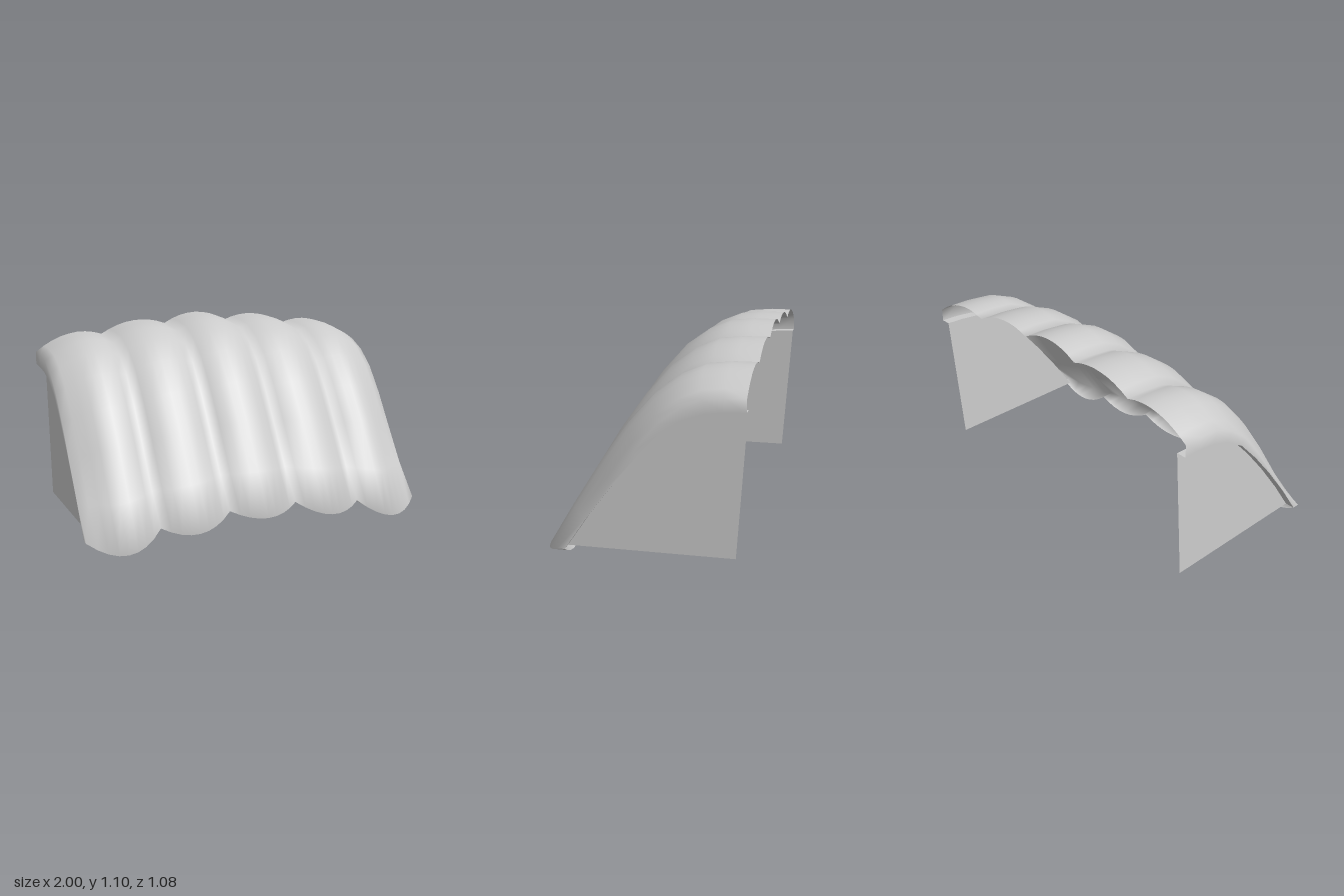
import * as THREE from 'three';

// Crest profile [z, y, inward direction in degrees from straight down], back edge to front edge
const CREST = [[-0.54, 1.098, 0], [-0.42, 1.098, 7], [-0.29, 1.085, 16], [-0.17, 1.035, 20],
  [-0.04, 0.94, 31], [0.1, 0.78, 45], [0.24, 0.58, 63], [0.4, 0.32, 90], [0.535, 0.095, 112]];
// Lower edge of the canopy ends, where the side panels hang
const END = [[-0.54, 0.845], [-0.44, 0.84], [-0.34, 0.828], [-0.23, 0.79], [-0.12, 0.72],
  [0, 0.59], [0.13, 0.43], [0.27, 0.24], [0.39, 0.06]];
const LAST = CREST.length - 1;
const HEM_Z = 0.39;
const PANEL_X = 0.945;

// Valley / crest / valley values per lobe, from the middle outward
const TOP = [[1.04, 1.098, 1.04], [1.04, 1.068, 0.998], [0.998, 1.012, 0.915]];
const BOTTOM = [[0.14, 0.095, 0.14], [0.14, 0.062, 0.098], [0.098, 0.002, 0.06]];
const FRONT = [[0.465, 0.535, 0.465], [0.465, 0.535, 0.465], [0.465, 0.535, 0.43]];

// Parabolic arch through a lobe's three values
function scallop(table, x) {
  const a = Math.abs(x);
  const lobe = Math.min(2, Math.floor((a + 0.2) / 0.4 + 1e-6));
  const s = (a - lobe * 0.4) / 0.2;
  const [l, m, r] = table[lobe];
  return m + (r - l) / 2 * s + ((l + r) / 2 - m) * s * s;
}

// Canopy profile at one x, ending with the hem turned back under the front edge
function sectionAt(x) {
  const drop = 0.087 * Math.min(1, Math.pow(Math.abs(x) / 0.8, 1.5));
  const depth = Math.max(0, 1.098 - scallop(TOP, x) - drop);
  const bottom = scallop(BOTTOM, x);
  const points = CREST.map(([z, y, degrees], i) => {
    const d = depth + 0.7 * (i / LAST) * Math.min(depth, 0.04);
    const angle = THREE.MathUtils.degToRad(degrees);
    return new THREE.Vector3(x, y - drop - Math.cos(angle) * d, z - Math.sin(angle) * d);
  });
  points[LAST].set(x, bottom, scallop(FRONT, x));
  points.push(new THREE.Vector3(x, bottom, HEM_Z));
  return points;
}

const endEdge = x => END.map(([z, y]) => new THREE.Vector3(x, y, z));

// Turned-down end of the canopy, with the same point count as a section
function endDrop(x) {
  const points = endEdge(x);
  return [...points, points[LAST].clone()];
}

// Smooth sheet through equal-length rows of points
function sheet(rows) {
  const n = rows[0].length, index = [];
  for (let u = 0; u < rows.length - 1; u++) {
    for (let v = 0; v < n - 1; v++) {
      const a = u * n + v, b = a + 1, c = a + n, d = c + 1;
      index.push(a, b, c, b, d, c);
    }
  }
  const geometry = new THREE.BufferGeometry().setFromPoints(rows.flat());
  geometry.setIndex(index);
  geometry.computeVertexNormals();
  return geometry;
}

export function createModel() {
  const model = new THREE.Group();
  model.name = 'scallopedAwning';
  const material = new THREE.MeshStandardMaterial({ color: 0xcccccc, side: THREE.DoubleSide });
  const add = (name, geometry) => {
    const mesh = new THREE.Mesh(geometry, material);
    mesh.name = name;
    model.add(mesh);
    return mesh;
  };

  // Canopy: five padded lobes, eight columns each, with turned-down ends
  const rows = [endDrop(-1)];
  for (let i = 0; i <= 40; i++) rows.push(sectionAt(-1 + i / 20));
  rows.push(endDrop(1));
  add('canopy', sheet(rows));

  for (const [side, sign] of [['right', -1], ['left', 1]]) {
    // Ledge under the canopy end
    const ledge = [endEdge(sign), endEdge(sign * PANEL_X)];
    add(side + 'Ledge', sheet(sign > 0 ? ledge : ledge.reverse()));

    // Thin side panel hanging from the ledge
    const outline = END.map(([z, y]) => new THREE.Vector2(-z, y));
    outline.push(new THREE.Vector2(0.49, 0.065));
    const panel = add(side + 'Panel', new THREE.ShapeGeometry(new THREE.Shape(outline)));
    panel.rotation.y = Math.PI / 2;
    panel.position.x = sign * PANEL_X;
  }
  return model;
}
